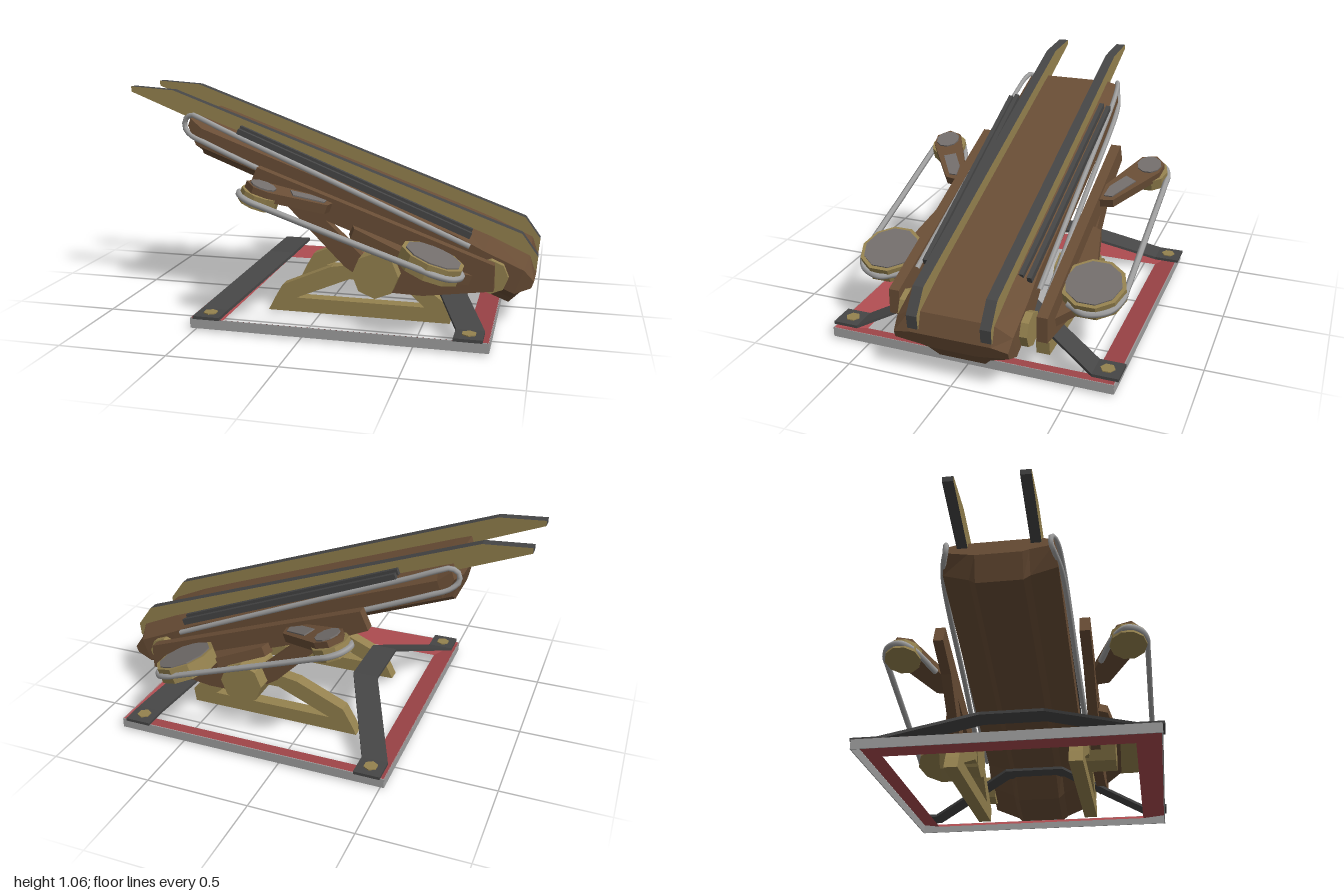
import * as THREE from 'three';

const mat = (name, color) => {
  const m = new THREE.MeshStandardMaterial({ color });
  m.name = name;
  return m;
};

export function createModel() {
  const brown = mat('dark wood', 0x6a4e36), olive = mat('light wood', 0x95824f);
  const dark = mat('dark iron', 0x464646), grey = mat('light steel', 0xa0a0a0);
  const disc = mat('inlay grey', 0x736e6c), red = mat('red', 0xaa4a4e);
  red.side = THREE.DoubleSide;
  const root = new THREE.Group();
  root.name = 'launcher';
  // Everything on the ramp lives in a tilted frame: x down the slope, y normal to it
  const ramp = new THREE.Group();
  ramp.name = 'ramp';
  ramp.rotation.z = -THREE.MathUtils.degToRad(20);
  root.add(ramp);

  const add = (parent, name, geo, material, x = 0, y = 0, z = 0) => {
    const m = new THREE.Mesh(geo, material);
    m.name = name;
    m.position.set(x, y, z);
    parent.add(m);
    return m;
  };
  const flat = (geo) => {
    const g = geo.toNonIndexed();
    g.computeVertexNormals();
    return g;
  };
  const box = (w, h, d) => new THREE.BoxGeometry(w, h, d);
  const cyl = (r, h, n) => flat(new THREE.CylinderGeometry(r, r, h, n));
  const shapeOf = (pts, hole) => {
    const s = new THREE.Shape(pts.map(p => new THREE.Vector2(...p)));
    if (hole) s.holes.push(new THREE.Path(hole.map(p => new THREE.Vector2(...p))));
    return s;
  };
  const extrude = (pts, depth, hole) =>
    new THREE.ExtrudeGeometry(shapeOf(pts, hole), { depth, bevelEnabled: false });
  // Upright plate, centred in z
  const plate = (pts, depth, hole) => extrude(pts, depth, hole).translate(0, 0, -depth / 2);
  // Lying plate, points are (x, z)
  const slab = (pts, depth) => extrude(pts.map(([x, z]) => [x, -z]), depth).rotateX(-Math.PI / 2);
  // Skin over equal rings of points, closed by end caps
  const loft = (rings) => {
    const n = rings[0].length, idx = [], last = (rings.length - 1) * n;
    for (let r = 0; r < rings.length - 1; r++)
      for (let i = 0; i < n; i++) {
        const a = r * n + i, b = r * n + (i + 1) % n;
        idx.push(a, b, b + n, a, b + n, a + n);
      }
    for (let i = 1; i < n - 1; i++) idx.push(0, i + 1, i, last, last + i, last + i + 1);
    const g = new THREE.BufferGeometry();
    g.setAttribute('position', new THREE.Float32BufferAttribute(rings.flat(2), 3));
    g.setIndex(idx);
    return flat(g);
  };
  const rod = (pts, r) => new THREE.TubeGeometry(
    new THREE.CatmullRomCurve3(pts.map(p => new THREE.Vector3(...p)), false, 'centripetal'), 120, r, 6);
  // Square bar between two points
  const bar = (parent, name, a, b, w, h, material) => {
    const p = new THREE.Vector3(...a), q = new THREE.Vector3(...b);
    const m = add(parent, name, box(w, h, p.distanceTo(q)), material);
    m.position.copy(p).add(q).multiplyScalar(0.5);
    m.lookAt(q);
  };

  // Ground frame: steel rim with a red flange sloping down to the inside
  add(root, 'baseFlange', flat(new THREE.CylinderGeometry(0.675 * Math.SQRT2, 0.563 * Math.SQRT2, 0.045, 4, 1, true)
    .rotateY(Math.PI / 4)), red, 0.155, 0.034, 0);
  for (const s of [-1, 1]) {
    add(root, 'baseRimLong', box(1.35, 0.046, 0.004), grey, 0.155, 0.033, s * 0.677);
    add(root, 'baseRimShort', box(0.004, 0.046, 1.35), grey, 0.155 + s * 0.674, 0.033, 0);
  }

  // Iron straps bridging the frame, with bolts at the feet
  for (const [x0, shift] of [[-0.44, 0.195], [0.74, -0.195]]) {
    const path = [[0, 0.064, -0.69], [0, 0.064, -0.57], [shift, 0.238, -0.15],
      [shift, 0.238, 0.15], [0, 0.064, 0.57], [0, 0.064, 0.69]];
    add(root, 'strap', loft(path.map(([dx, y, z]) =>
      [[-1, -1], [1, -1], [1, 1], [-1, 1]].map(([i, j]) => [x0 + dx + i * 0.063, y + j * 0.007, z]))), dark);
    for (const s of [-1, 1]) add(root, 'bolt', cyl(0.034, 0.008, 6), olive, x0, 0.072, s * 0.625);
  }

  // Main bed: [position, bottom, top, half width]
  const stations = [[-0.94, 0.56, 0.65, 0.25], [-0.867, 0.45, 0.652, 0.265], [0.45, 0.42, 0.652, 0.265],
    [0.6, 0.36, 0.65, 0.27], [0.8, 0.355, 0.635, 0.27], [0.86, 0.48, 0.56, 0.265]];
  add(ramp, 'bed', loft(stations.map(([u, b, t, w]) => {
    const h = t - b, half = [[0.11, b], [0.14, b + 0.12 * h], [w, b + 0.35 * h], [w, t - 0.22 * h], [0.19, t]];
    return [...half.map(([z, y]) => [u, y, -z]), ...half.reverse().map(([z, y]) => [u, y, z])];
  })), brown);

  for (const s of [-1, 1]) {
    // Rails with iron edges
    add(ramp, 'rail', plate([[-1.301, 0.65], [-1.292, 0.626], [-0.9, 0.615], [0.8, 0.56], [0.854, 0.577],
      [0.838, 0.64], [0.731, 0.712], [-1.089, 0.712]], 0.05), [olive, dark], 0, 0, s * 0.17);

    // Slide bars beside the rails
    bar(root, 'slideBarOuter', [-0.42, 0.86, s * 0.27], [0.7, 0.41, s * 0.25], 0.022, 0.03, dark);
    bar(root, 'slideBarInner', [-0.42, 0.87, s * 0.235], [0.7, 0.42, s * 0.212], 0.022, 0.03, dark);

    // Long cable loop along the bed
    add(root, 'bedCable', rod([[0.7, 0.37, s * 0.295], [0.1, 0.62, s * 0.284], [-0.5, 0.87, s * 0.273],
      [-0.62, 0.92, s * 0.262], [-0.66, 0.93, s * 0.25], [-0.695, 0.91, s * 0.24], [-0.702, 0.87, s * 0.24],
      [-0.67, 0.835, s * 0.255], [-0.57, 0.793, s * 0.275], [0.06, 0.532, s * 0.29], [0.69, 0.27, s * 0.31]],
    0.013), grey);

    // Trestle under the bed
    add(root, 'trestle', plate([[-0.26, 0], [0.62, 0], [0.63, 0.07], [0.42, 0.23], [0.14, 0.25],
      [0.05, 0.235], [-0.19, 0.13], [-0.23, 0.06]], 0.065,
    [[-0.12, 0.07], [0.15, 0.185], [0.38, 0.18], [0.5, 0.07]]), olive, 0, 0, s * 0.287);

    // Side frame and its axle
    add(root, 'sideFrame', plate([[-0.29, 0.71], [-0.33, 0.62], [-0.14, 0.53], [0.13, 0.26], [0.3, 0.15],
      [0.5, 0.145], [0.82, 0.19], [0.82, 0.31]], 0.05,
    [[0.04, 0.475], [0.22, 0.31], [0.42, 0.29], [0.55, 0.29]]), brown, 0, 0, s * 0.352);
    add(root, 'axleHub', cyl(0.108, 0.2, 8).rotateX(Math.PI / 2), olive, 0.29, 0.245, s * 0.35);
    add(root, 'rearHub', cyl(0.08, 0.05, 8).rotateX(Math.PI / 2), olive, 0.8, 0.235, s * 0.28);

    // Large pulley on its bracket
    add(ramp, 'pulleyBracket', slab([[0, s * 0.37], [0.02, s * 0.42], [0.26, s * 0.47], [0.5, s * 0.46],
      [0.6, s * 0.37]], 0.05), brown, 0, 0.44, 0);
    add(ramp, 'largePulley', cyl(0.148, 0.075, 10), olive, 0.4, 0.505, s * 0.5);
    add(ramp, 'largePulleyInlay', cyl(0.13, 0.006, 10), disc, 0.4, 0.545, s * 0.5);

    // Throwing arm with the small pulley
    add(ramp, 'arm', slab([[-0.12, s * 0.37], [-0.22, s * 0.37], [-0.47, s * 0.5], [-0.49, s * 0.57],
      [-0.44, s * 0.62], [-0.37, s * 0.61], [-0.13, s * 0.44]], 0.045), brown, 0, 0.505, 0);
    add(ramp, 'armInlay', slab([[-0.15, s * 0.39], [-0.22, s * 0.4], [-0.31, s * 0.46], [-0.28, s * 0.515],
      [-0.15, s * 0.43]], 0.006), disc, 0, 0.55, 0);
    add(ramp, 'smallPulley', cyl(0.09, 0.06, 10), olive, -0.415, 0.49, s * 0.55);
    add(ramp, 'smallPulleyInlay', cyl(0.06, 0.008, 10), disc, -0.415, 0.553, s * 0.55);

    // Drive cable around both pulleys
    add(ramp, 'driveCable', rod([[-0.3, 0.485, s * 0.41], [-0.46, 0.485, s * 0.49], [-0.508, 0.485, s * 0.55],
      [-0.485, 0.485, s * 0.61], [-0.43, 0.485, s * 0.638], [-0.36, 0.487, s * 0.64], [0, 0.495, s * 0.64],
      [0.36, 0.505, s * 0.64], [0.43, 0.505, s * 0.638], [0.51, 0.505, s * 0.6], [0.548, 0.505, s * 0.5],
      [0.51, 0.505, s * 0.41]], 0.015), grey);
  }
  return root;
}
